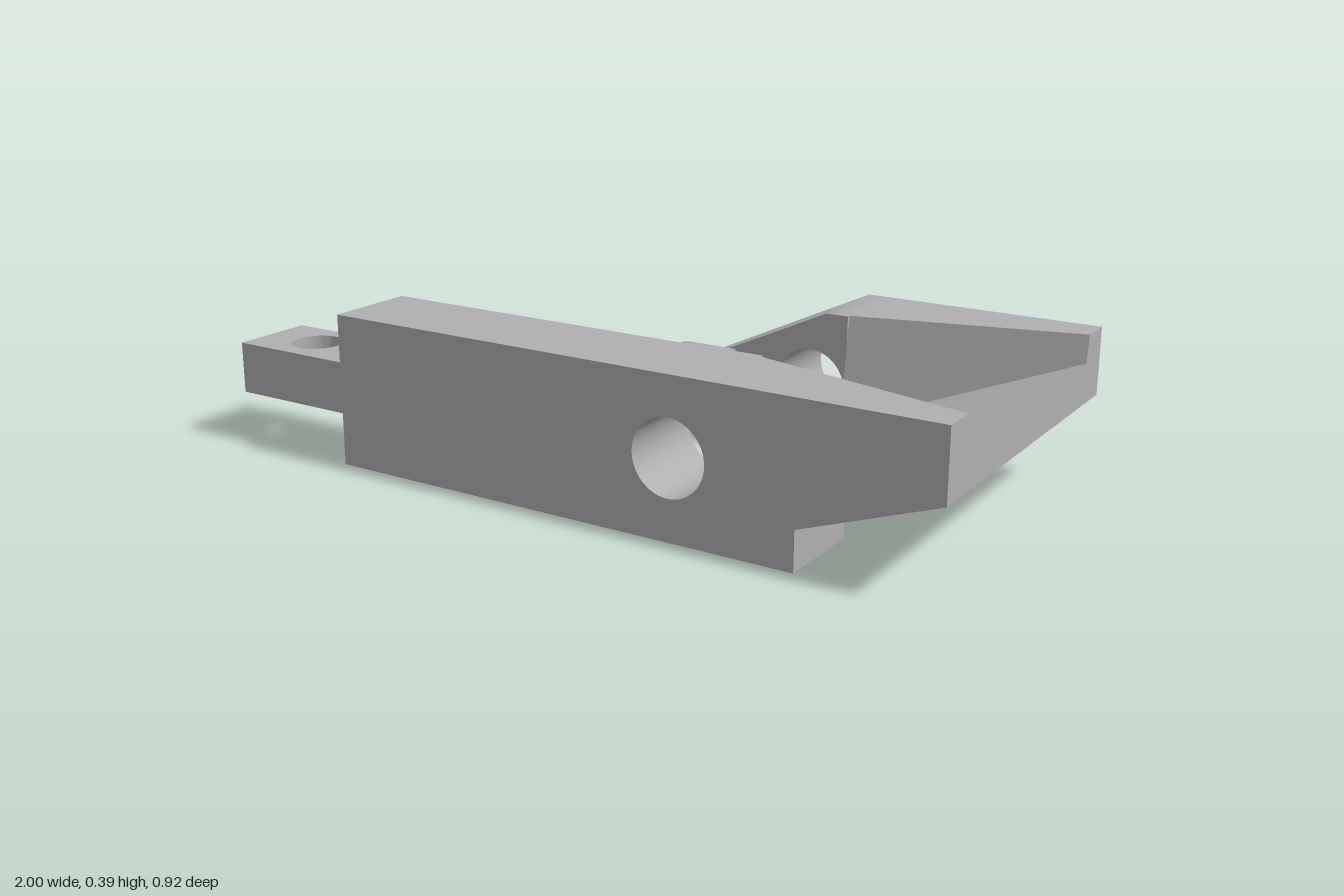
import * as THREE from 'three';
import { toCreasedNormals } from 'three/addons/utils/BufferGeometryUtils.js';

const OUTER = 0.46;   // half width of the bracket
const HUB = 0.215;    // inner face of the arms at the pivot

function outline(points, hole) {
  const shape = new THREE.Shape(points.map(([x, y]) => new THREE.Vector2(x, y)));
  if (hole) {
    const path = new THREE.Path();
    path.absarc(hole[0], hole[1], hole[2], 0, Math.PI * 2, true);
    shape.holes.push(path);
  }
  return shape;
}

// Side profile stretched across z between two faces, each given as z(x, y)
function slab(points, back, front, hole) {
  const geo = new THREE.ExtrudeGeometry(outline(points, hole), {
    depth: 1, bevelEnabled: false, curveSegments: 24,
  });
  const p = geo.attributes.position;
  for (let i = 0; i < p.count; i++) {
    const x = p.getX(i), y = p.getY(i);
    p.setZ(i, p.getZ(i) < 0.5 ? back(x, y) : front(x, y));
  }
  return toCreasedNormals(geo, 0.5);
}

export function createModel() {
  const group = new THREE.Group();
  const grey = new THREE.MeshStandardMaterial({ color: 0xb0b0b0 });
  grey.name = 'grey';

  const add = (name, geo) => {
    const mesh = new THREE.Mesh(geo, grey);
    mesh.name = name;
    group.add(mesh);
  };
  const flat = (z) => () => z;
  const taper = (x) => HUB + (0.24 - x) * 0.26;
  const flare = (x, y) => HUB + (x - 0.44) * 0.26 + (y - 0.325) * 0.14;
  const frontSlab = (name, pts, inner, hole, outer = OUTER) =>
    add(name, slab(pts, inner, flat(outer), hole));
  const rearSlab = (name, pts, inner, hole) =>
    add(name, slab(pts, flat(-OUTER), (x, y) => -inner(x, y), hole));
  const pivot = [0.34, 0.2, 0.095];

  // Rear arm: pointed tip, pivot hub and flared cheek
  rearSlab('rearArmTip', [[-0.355, 0], [0.24, 0], [0.24, 0.3275], [-0.355, 0.045]], taper);
  rearSlab('rearArmHub',
    [[0.24, 0], [0.39, 0], [0.44, 0.02], [0.44, 0.394], [0.38, 0.394], [0.24, 0.3275]],
    flat(HUB), pivot);
  rearSlab('rearArmCheek', [[0.44, 0.02], [1, 0.222], [1, 0.394], [0.44, 0.394]], flare);

  // Front arm: long block with a wedge-shaped pocket under a sloping ceiling
  frontSlab('frontArmBlock',
    [[-0.635, 0], [-0.52, 0], [0.24, 0.33], [0.24, 0.394], [-0.635, 0.394]], flat(0.22));
  frontSlab('frontArmPocketWall', [[-0.52, 0], [0.24, 0], [0.24, 0.33]], taper);
  frontSlab('frontArmHub', [[0.24, 0], [0.44, 0], [0.44, 0.394], [0.24, 0.394]],
    flat(HUB), pivot);
  frontSlab('frontArmCheek',
    [[0.44, 0], [0.66, 0], [0.66, 0.1], [1, 0.222], [1, 0.394], [0.44, 0.394]], flare);
  frontSlab('frontArmStop', [[0.44, 0], [0.66, 0], [0.66, 0.15], [0.44, 0.1]],
    flat(0.22), null, 0.45);
  frontSlab('frontArmRib',
    [[-0.355, 0.07], [0.24, 0.33], [0.36, 0.33], [0.36, 0.394], [0.225, 0.394], [-0.355, 0.165]],
    flat(0.2), null, 0.23);

  // Sloping floor joining the two arms, rounded at its inner edge
  const floorEdge = (x, y) => (x < 0.45 ? HUB + 0.002 : HUB + 0.03 + (x - 0.44) * 0.26);
  add('slopingFloor', slab(
    [[0.31, 0], [0.38, 0], [0.42, 0.013], [0.46, 0.028], [1, 0.222], [1, 0.325],
      [0.41, 0.113], [0.36, 0.093], [0.325, 0.07], [0.31, 0.035]],
    (x, y) => -floorEdge(x, y), floorEdge));

  // Tongue with a vertical hole
  const tongue = new THREE.ExtrudeGeometry(
    outline([[-1, -0.445], [-0.63, -0.445], [-0.63, -0.225], [-1, -0.225]], [-0.835, -0.333, 0.068]),
    { depth: 0.135, bevelEnabled: false, curveSegments: 24 });
  tongue.rotateX(-Math.PI / 2).translate(0, 0.13, 0);
  add('tongue', toCreasedNormals(tongue, 0.5));

  return group;
}
